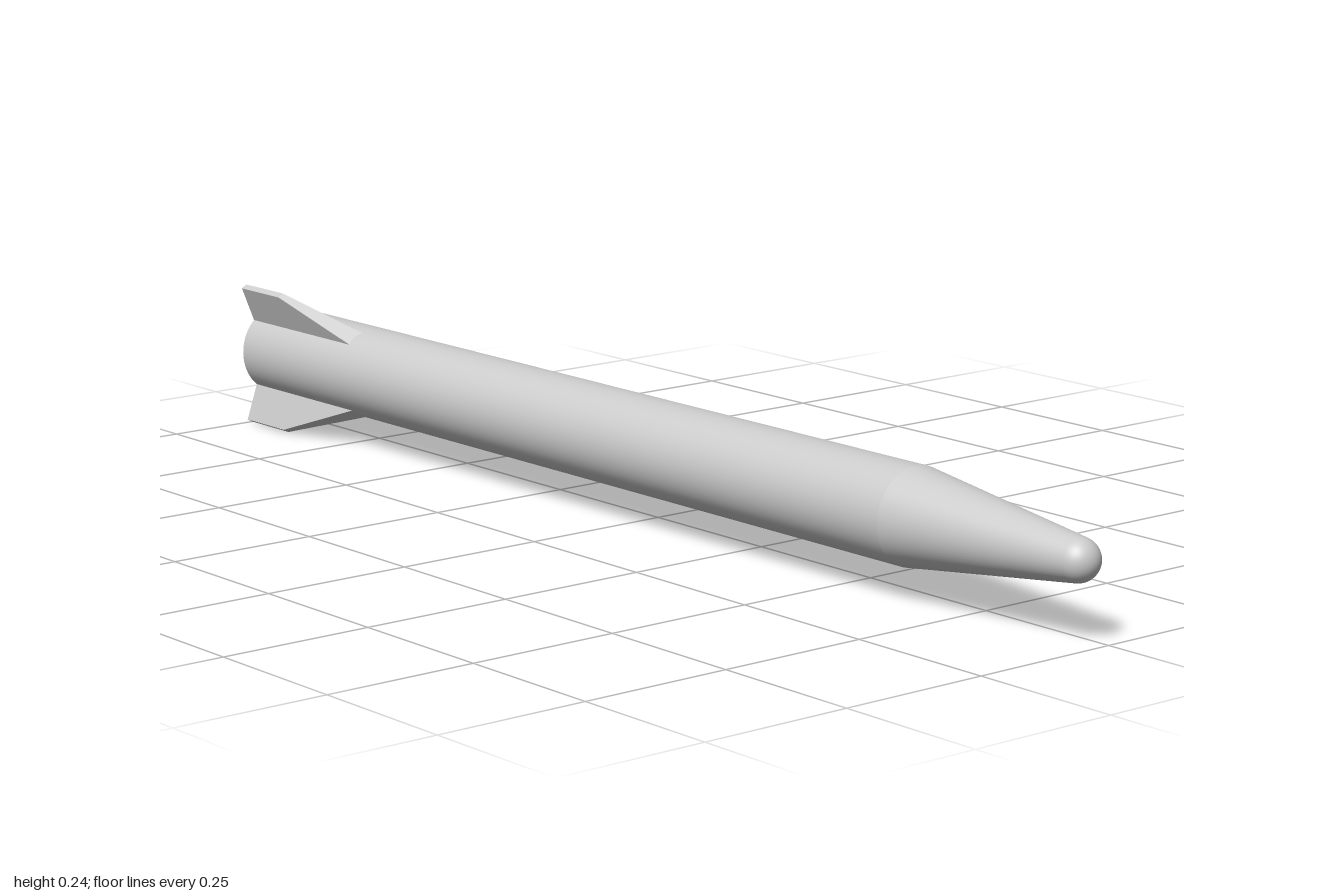
import * as THREE from 'three';

const material = new THREE.MeshStandardMaterial({ color: 0xcccccc });
const RADIUS = 0.077;
const BORE = 0.063;

// Turn a [radius, z] profile around the z axis
function turned(name, profile) {
  const points = profile.map(([r, z]) => new THREE.Vector2(r, z));
  const geometry = new THREE.LatheGeometry(points, 64);
  geometry.rotateX(Math.PI / 2);
  const mesh = new THREE.Mesh(geometry, material);
  mesh.name = name;
  return mesh;
}

// Swept fin: a box whose outer edge is thinner and starts further back
function finGeometry() {
  const geometry = new THREE.BoxGeometry(1, 1, 1).toNonIndexed();
  const p = geometry.attributes.position;
  for (let i = 0; i < p.count; i++) {
    const outer = p.getX(i) > 0;
    const front = p.getZ(i) > 0;
    p.setXYZ(
      i,
      outer ? 0.138 : 0.072,
      p.getY(i) * (outer ? 0.011 : 0.033),
      front ? (outer ? -0.89 : -0.707) : -1
    );
  }
  geometry.computeVertexNormals();
  return geometry;
}

export function createModel() {
  const model = new THREE.Group();
  model.name = 'rocket';

  const rocket = new THREE.Group();
  rocket.name = 'airframe';
  rocket.position.set(-0.031, 0.126, 0);
  model.add(rocket);

  // Straight body tube, open at the tail
  rocket.add(turned('bodyTube', [[RADIUS, -1], [RADIUS, 0.63]]));
  rocket.add(turned('tailRim', [[BORE, -1], [RADIUS, -1]]));
  rocket.add(turned('bore', [[0, 0.6], [BORE, 0.6]]).rotateY(0));
  rocket.add(turned('boreWall', [[BORE, 0.6], [BORE, -1]]));
  rocket.getObjectByName('bore').name = 'boreEnd';

  // Tapered nose with a rounded tip
  const tipRadius = 0.034;
  const tipZ = 1 - tipRadius;
  const lean = Math.atan2(RADIUS - tipRadius, tipZ - 0.63);
  const tip = [];
  for (let i = 0; i <= 12; i++) {
    const a = lean + (Math.PI / 2 - lean) * (i / 12);
    tip.push([tipRadius * Math.cos(a), tipZ + tipRadius * Math.sin(a)]);
  }
  rocket.add(turned('noseCone', [[RADIUS, 0.63], tip[0]]));
  rocket.add(turned('noseTip', tip));

  // Three fins around the tail
  const fin = finGeometry();
  for (let i = 0; i < 3; i++) {
    const mesh = new THREE.Mesh(fin, material);
    mesh.name = `fin${i + 1}`;
    mesh.rotation.z = 0.027 + (i * Math.PI * 2) / 3;
    rocket.add(mesh);
  }

  return model;
}
